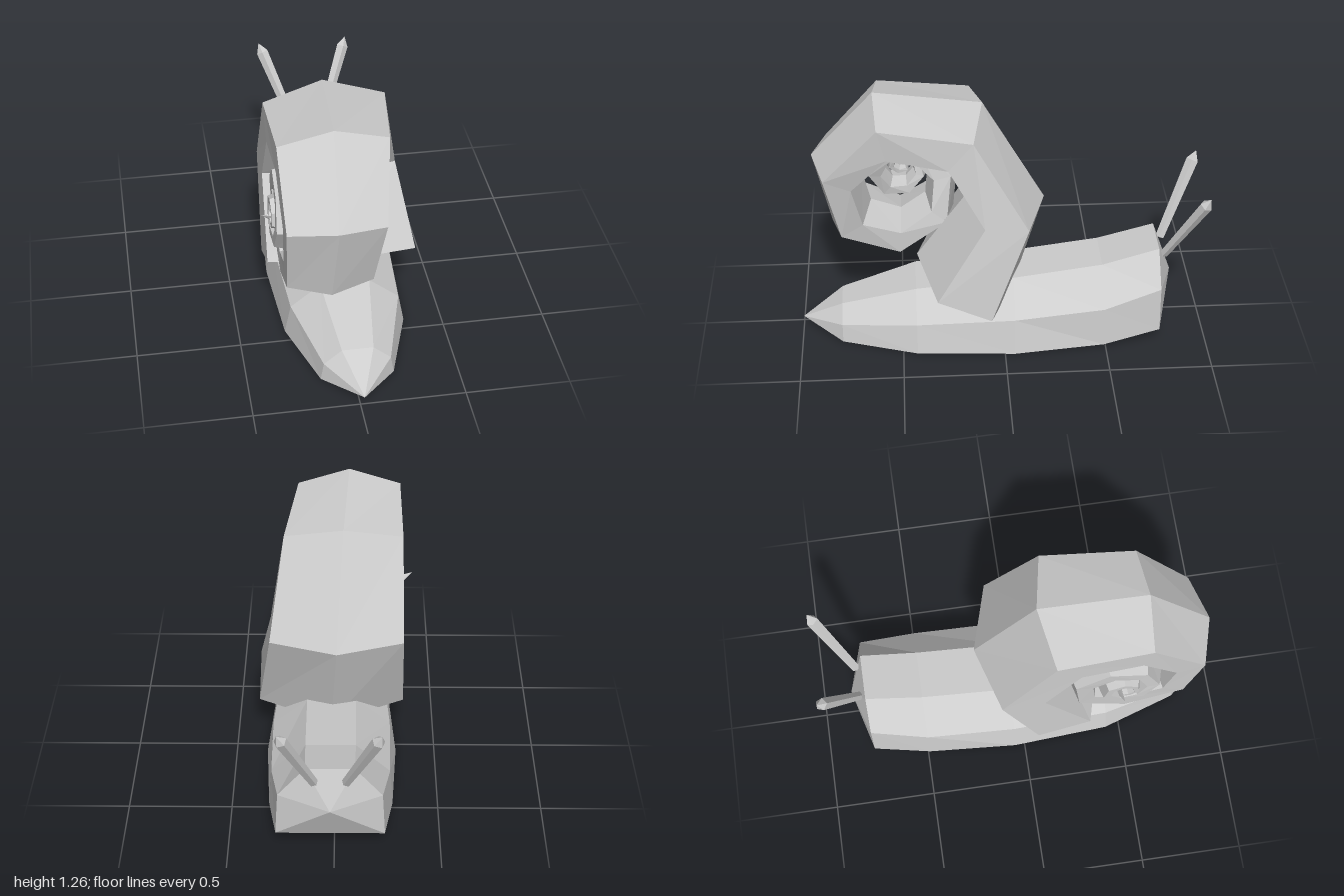
import * as THREE from 'three';

const AXIS = 0.02; // the body is symmetric about this x
const SHELL = { z: 0.48, y: 0.745 }; // spiral centre

const skin = new THREE.MeshStandardMaterial({ color: 0xcccccc, flatShading: true });
skin.name = 'plain grey';

// Faceted skin over a row of equal-length rings; a ring of equal points is an apex.
function loft(rings) {
  const pos = [];
  const tri = (a, b, c) => {
    const area = b.clone().sub(a).cross(c.clone().sub(a)).length();
    if (area > 1e-9) for (const p of [a, b, c]) pos.push(p.x, p.y, p.z);
  };
  for (let i = 0; i + 1 < rings.length; i++) {
    const n = rings[i].length;
    for (let j = 0; j < n; j++) {
      const k = (j + 1) % n;
      tri(rings[i][j], rings[i + 1][j], rings[i][k]);
      tri(rings[i][k], rings[i + 1][j], rings[i + 1][k]);
    }
  }
  const g = new THREE.BufferGeometry();
  g.setAttribute('position', new THREE.Float32BufferAttribute(pos, 3));
  g.computeVertexNormals();
  return g;
}

const apex = (x, y, z, n = 6) => Array.from({ length: n }, () => new THREE.Vector3(x, y, z));

function part(name, geometry) {
  const m = new THREE.Mesh(geometry, skin);
  m.name = name;
  return m;
}

// Six-sided body section: half widths and heights of its bottom, middle and top corners
function bodyRing([z, wb, yb, wm, ym, wt, yt]) {
  const p = (w, y) => new THREE.Vector3(AXIS + w, y, z);
  return [p(-wb, yb), p(wb, yb), p(wm, ym), p(wt, yt), p(-wt, yt), p(-wm, ym)];
}

function makeBody() {
  const sections = [
    [0.8, 0.175, 0, 0.16, 0.09, 0.075, 0.162],
    [0.43, 0.295, 0, 0.265, 0.15, 0.12, 0.267],
    [-0.05, 0.325, 0, 0.292, 0.178, 0.122, 0.315],
    [-0.49, 0.3, 0.02, 0.285, 0.22, 0.12, 0.375],
    [-0.77, 0.258, 0.07, 0.245, 0.3, 0.115, 0.455],
  ];
  return loft([apex(AXIS, 0.038, 1), ...sections.map(bodyRing), apex(AXIS, 0.26, -0.845)]);
}

// Six-sided shell section running from an inner ridge to an outer ridge, given as [z, y]
function shellRing(inner, outer, left, right) {
  const mid = (left + right) / 2;
  const p = (x, t) => new THREE.Vector3(
    x,
    inner[1] + (outer[1] - inner[1]) * t,
    inner[0] + (outer[0] - inner[0]) * t
  );
  return [p(mid, 1), p(right, 0.75), p(right, 0.2), p(mid, 0), p(left, 0.2), p(left, 0.75)];
}

function makeShell() {
  // flat mouth resting on the body
  const rings = [apex(0.022, 0.3, 0.2), shellRing([0.42, 0.397], [-0.05, 0.18], -0.34, 0.385)];
  // shrinking coils
  for (let k = 0; k < 20; k++) {
    const a = THREE.MathUtils.degToRad(184 - 54 * k);
    const r = 0.69 * 0.88 ** k;
    const at = (q) => [SHELL.z + Math.cos(a) * q, SHELL.y + Math.sin(a) * q];
    const left = k < 6 ? -0.33 + 0.006 * k : Math.max(-0.34, -0.3 - 0.006 * (k - 5));
    rings.push(shellRing(at(r * 0.45), at(r), left, left + 0.65 * 0.885 ** k));
  }
  rings.push(apex(-0.385, SHELL.y, SHELL.z - 0.01));
  return loft(rings);
}

// Stalk with a small pointed end
function makeFeeler(side) {
  const base = new THREE.Vector3(AXIS + side * 0.075, 0.4, -0.8);
  const tip = new THREE.Vector3(AXIS + side * 0.232, 0.805, -0.985);
  const length = base.distanceTo(tip);
  const profile = [[0, 0], [0.022, 0], [0.031, length - 0.05], [0, length]];
  const g = new THREE.LatheGeometry(profile.map(([x, y]) => new THREE.Vector2(x, y)), 5);
  const m = part(side > 0 ? 'leftFeeler' : 'rightFeeler', g);
  m.position.copy(base);
  m.quaternion.setFromUnitVectors(new THREE.Vector3(0, 1, 0), tip.sub(base).normalize());
  return m;
}

export function createModel() {
  const model = new THREE.Group();
  model.name = 'snail';
  model.add(part('body', makeBody()), part('shell', makeShell()), makeFeeler(1), makeFeeler(-1));
  return model;
}
